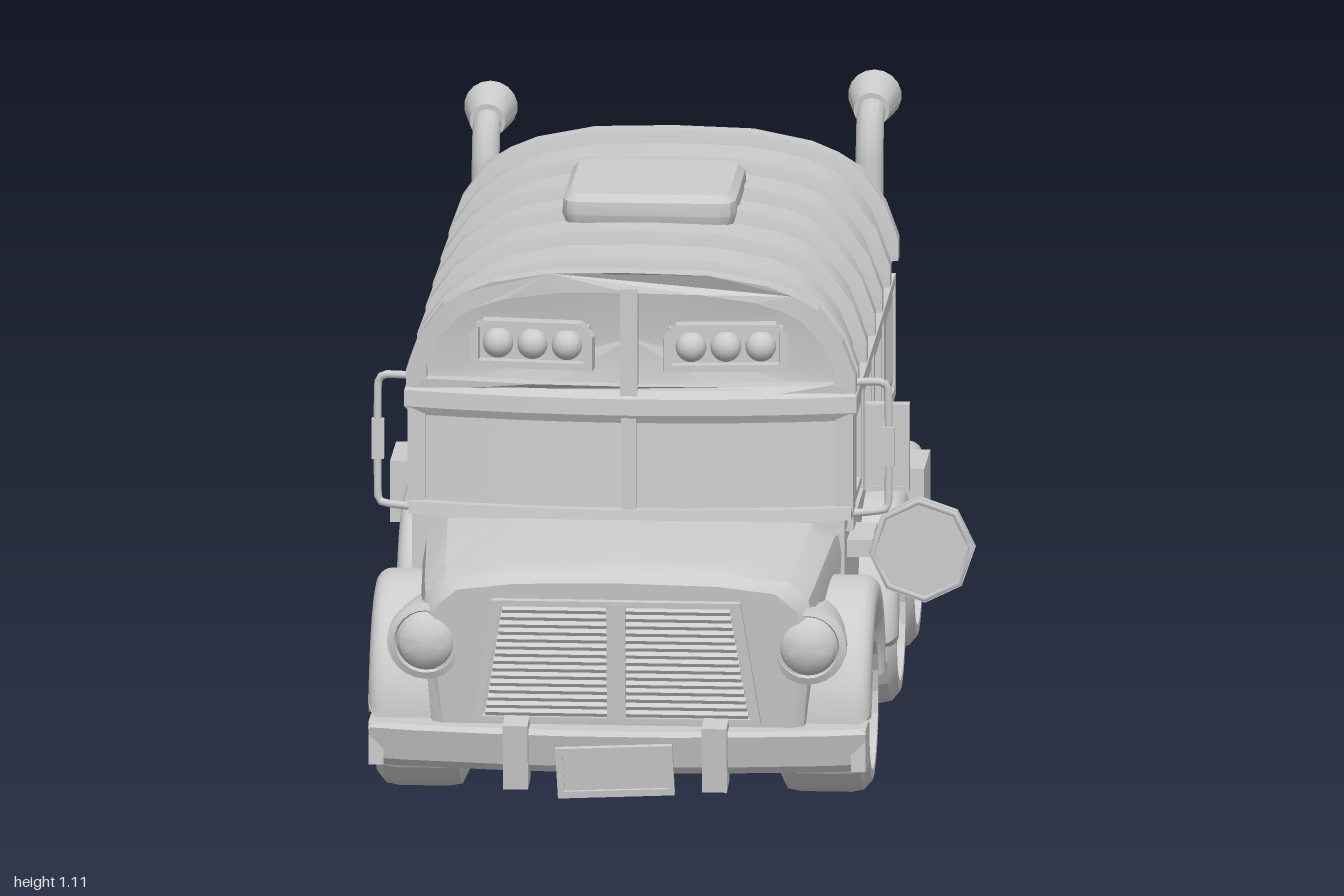
import * as THREE from 'three';
import { toCreasedNormals } from 'three/addons/utils/BufferGeometryUtils.js';

const mat = new THREE.MeshStandardMaterial({ color: 0xcccccc, side: THREE.DoubleSide });

export function createModel() {
  const model = new THREE.Group();
  const bus = new THREE.Group();
  bus.name = 'bus';
  bus.position.x = -0.072;
  model.add(bus);

  const add = (name, geo, x = 0, y = 0, z = 0, parent = bus) => {
    const m = new THREE.Mesh(geo, mat);
    m.name = name;
    m.position.set(x, y, z);
    parent.add(m);
    return m;
  };
  const box = (name, w, h, d, x, y, z, parent) => add(name, new THREE.BoxGeometry(w, h, d), x, y, z, parent);
  const tube = (name, pts, r) => add(name, new THREE.TubeGeometry(
    new THREE.CatmullRomCurve3(pts.map(p => new THREE.Vector3(...p)), false, 'catmullrom', 0.2), 32, r, 12));
  const lathe = (pts, n) => new THREE.LatheGeometry(pts.map(p => new THREE.Vector2(...p)), n);

  // Closed solid through equal-length rings, faces turned outward
  const loft = (rings, crease = 0.5) => {
    const n = rings[0].length, pos = rings.flat(2), idx = [];
    for (let r = 0; r < rings.length - 1; r++) for (let i = 0; i < n; i++) {
      const a = r * n + i, b = r * n + (i + 1) % n;
      idx.push(a, b, b + n, a, b + n, a + n);
    }
    [0, rings.length - 1].forEach((r, end) => {
      const c = pos.length / 3;
      for (let k = 0; k < 3; k++) pos.push(rings[r].reduce((s, p) => s + p[k], 0) / n);
      for (let i = 0; i < n; i++) {
        const a = r * n + i, b = r * n + (i + 1) % n;
        end ? idx.push(c, a, b) : idx.push(c, b, a);
      }
    });
    const v = i => new THREE.Vector3().fromArray(pos, i * 3);
    let vol = 0;
    for (let i = 0; i < idx.length; i += 3) vol += v(idx[i]).dot(v(idx[i + 1]).cross(v(idx[i + 2])));
    if (vol < 0) idx.reverse();
    const g = new THREE.BufferGeometry();
    g.setAttribute('position', new THREE.Float32BufferAttribute(pos, 3));
    g.setIndex(idx);
    return toCreasedNormals(g, crease);
  };
  const rectPath = (x, y, w, h) => [[x - w / 2, y - h / 2], [x + w / 2, y - h / 2], [x + w / 2, y + h / 2], [x - w / 2, y + h / 2]];
  const toShape = pts => new THREE.Shape(pts.map(p => new THREE.Vector2(...p)));
  const plate = (outer, holes, depth) => {
    const s = toShape(outer);
    s.holes = holes.map(toShape);
    return new THREE.ExtrudeGeometry(s, { depth, bevelEnabled: false });
  };
  const frame = (w, h, t, d) => plate(rectPath(0, 0, w, h), [rectPath(0, 0, w - 2 * t, h - 2 * t)], d);

  // Main body
  box('body', 0.85, 0.63, 1.25, 0, 0.465, -0.175);
  for (const s of [-1, 1]) box('bottomTrim', 0.02, 0.05, 1.25, s * 0.43, 0.175, -0.175);

  // Roof, ribs and end frames share one arched section
  const half = [[0.425, 0.78], [0.425, 0.82], [0.4, 0.885], [0.355, 0.945], [0.31, 0.972], [0.26, 0.992], [0.15, 1.013]];
  const base = [...half, [0, 1.017], ...half.map(([x, y]) => [-x, y]).reverse(), [-0.2, 0.78], [0, 0.78], [0.2, 0.78]];
  const arch = (d, b = 0) => base.map(([x, y]) => [x * (1 + d / 0.425), 0.78 + b + (y - 0.78) * (1 + (d - b) / 0.24)]);
  const bow = x => -0.27 * x * x;
  add('roof', loft([arch(0).map(([x, y]) => [x, y, -0.785]), arch(0).map(([x, y]) => [x, y, 0.56 + bow(x)])]));
  for (const z of [0.43, 0.18, -0.06, -0.27, -0.5, -0.74]) add('roofRib',
    loft([[-0.005, -0.027], [0.027, -0.019], [0.027, 0.019], [-0.005, 0.027]].map(([d, o]) => arch(d).map(([x, y]) => [x, y, z + o]))));
  const visor = plate(arch(0.027), [arch(-0.015, 0.03)], 0.045);
  const vp = visor.attributes.position;
  for (let i = 0; i < vp.count; i++) vp.setZ(i, vp.getZ(i) + bow(vp.getX(i)));
  visor.computeVertexNormals();
  add('visorRim', visor, 0, 0, 0.54);
  box('visorPost', 0.035, 0.22, 0.03, 0, 0.9, 0.57);
  add('rearRim', plate(arch(0.008), [arch(-0.04, 0.02)], 0.03), 0, 0, -0.812);
  const sq = (h, y) => [[h, -h + 0.03], [h, h - 0.03], [h - 0.01, h - 0.01], [h - 0.03, h], [-h + 0.03, h], [-h + 0.01, h - 0.01], [-h, h - 0.03], [-h, -h + 0.03], [-h + 0.01, -h + 0.01], [-h + 0.03, -h], [h - 0.03, -h], [h - 0.01, -h + 0.01]].map(([x, z]) => [x, y, z]);
  add('roofHatch', loft([sq(0.165, 1.0), sq(0.175, 1.03), sq(0.173, 1.057), sq(0.16, 1.072)], 0.6), 0, 0, -0.165);

  // Cab with bowed windscreen
  const plan = (hw, zm, y) => {
    const p = [[-hw, y, 0.42]];
    for (let i = -4; i <= 4; i++) p.push([hw * i / 4, y, zm + bow(hw * i / 4)]);
    return [...p, [hw, y, 0.42]];
  };
  add('cab', loft([plan(0.43, 0.585, 0.5), plan(0.43, 0.565, 0.79)]));
  add('windscreenSill', loft([plan(0.445, 0.607, 0.535), plan(0.445, 0.603, 0.56)]));
  add('windscreenHeader', loft([plan(0.44, 0.583, 0.735), plan(0.455, 0.592, 0.752), plan(0.455, 0.59, 0.785), plan(0.44, 0.577, 0.8)]));
  box('windscreenPost', 0.03, 0.19, 0.025, 0, 0.65, 0.582);
  for (const s of [-1, 1]) {
    box('cabCorner', 0.035, 0.2, 0.1, s * 0.43, 0.65, 0.488);
    // Roof lamp cluster
    const lamps = new THREE.Group();
    lamps.name = 'roofLamps';
    lamps.position.set(s * 0.193, 0.893, 0.557);
    lamps.rotation.y = s * 0.1;
    bus.add(lamps);
    box('lampBack', 0.23, 0.075, 0.02, 0, 0, 0, lamps);
    add('lampFrame', plate([[-0.125, -0.048], [0.125, -0.048], [0.125, 0.02], [0.1, 0.048], [-0.1, 0.048], [-0.125, 0.02]], [rectPath(0, 0, 0.215, 0.068)], 0.035), 0, 0, 0, lamps);
    for (const i of [-1, 0, 1]) add('lamp', new THREE.SphereGeometry(0.031, 16, 12), i * 0.07, 0, 0.015, lamps);
  }

  // Hood and nose
  const hood = (z, hw, top, bot, lean) => {
    const h = [[hw - 0.02, bot], [hw, top - 0.1], [hw - 0.008, top - 0.05], [hw - 0.05, top - 0.014], [hw * 0.55, top]];
    return [...h, [0, top + 0.004], ...h.map(([x, y]) => [-x, y]).reverse()].map(([x, y]) => [x, y, z - (top - y) * lean]);
  };
  add('hood', loft([hood(0.42, 0.42, 0.54, 0.15, 0), hood(0.57, 0.415, 0.54, 0.17, 0), hood(0.85, 0.4, 0.515, 0.18, 0.02), hood(0.93, 0.393, 0.505, 0.18, 0.08), hood(0.953, 0.37, 0.485, 0.18, 0.11)], 0.6));
  const grille = new THREE.Group();
  grille.name = 'grille';
  grille.position.set(0, 0.325, 0.937);
  grille.rotation.x = 0.1;
  bus.add(grille);
  add('grilleFrame', plate([[-0.29, -0.125], [0.29, -0.125], [0.25, 0.13], [-0.25, 0.13]], [[[-0.27, -0.115], [0.27, -0.115], [0.232, 0.118], [-0.232, 0.118]]], 0.015), 0, 0, 0, grille);
  box('grillePost', 0.038, 0.25, 0.02, 0, 0, 0.008, grille);
  for (let i = 0; i < 15; i++) {
    const y = -0.108 + i * 0.0155;
    box('grilleSlat', 0.53 - (y + 0.115) * 0.32, 0.009, 0.012, 0, y, 0.006, grille).rotation.x = 0.5;
  }

  // Bumpers: a section in (y, z) swept over stations of [x, z offset]
  const bumper = (stations, sec) => loft([...stations.map(([x, o]) => [-x, o]).reverse(), ...stations]
    .map(([x, o]) => sec.map(([y, z]) => [x, y, z + o])), 0.15);
  add('frontBumper', bumper([[0.1, 0], [0.25, -0.012], [0.42, -0.035], [0.5, -0.055]],
    [[0.1, 0.9], [0.1, 0.955], [0.115, 0.967], [0.18, 0.984], [0.19, 0.975], [0.19, 0.91]]));
  add('rearBumper', bumper([[0.235, 0], [0.445, 0.038], [0.462, 0.05]],
    [[0.1, -0.76], [0.1, -0.85], [0.26, -0.88], [0.4, -0.888], [0.4, -0.79]]));
  add('rearPlate', frame(0.19, 0.09, 0.014, 0.02), 0, 0.28, -0.9);
  box('rearPlateBack', 0.17, 0.07, 0.01, 0, 0.28, -0.885);
  const plateGroup = new THREE.Group();
  plateGroup.name = 'frontPlate';
  plateGroup.position.set(0, 0.11, 0.977);
  plateGroup.rotation.set(0.12, 0, 0.045);
  bus.add(plateGroup);
  box('plateBack', 0.22, 0.09, 0.01, 0, 0, 0, plateGroup);
  add('plateFrame', frame(0.235, 0.105, 0.014, 0.014), 0, 0, -0.002, plateGroup);

  // Fender profile (z, y): flat-topped arch with rounded edges; tail is the angle where the rear arc stops
  const fender = (z0, z1, R, r, yc, tail, y1) => {
    const s = new THREE.Shape();
    s.moveTo(z1 + R, y1);
    s.absarc(z1, yc, R, 0, Math.PI / 2);
    s.absarc(z0, yc, R, Math.PI / 2, tail);
    s.absarc(z0, yc, r, tail, Math.PI / 2, true);
    s.absarc(z1, yc, r, Math.PI / 2, 0, true);
    s.lineTo(z1 + r, y1);
    const g = new THREE.ExtrudeGeometry(s, { depth: 0.09, bevelSize: 0.03, bevelThickness: 0.03, bevelOffset: -0.03, bevelSegments: 4, curveSegments: 16 });
    g.translate(0, 0, -0.045).rotateY(-Math.PI / 2);
    return toCreasedNormals(g, 0.6);
  };
  const frontFender = fender(0.63, 0.63, 0.25, 0.175, 0.185, Math.PI, 0.24);
  const rearFender = fender(-0.61, -0.17, 0.255, 0.175, 0.175, 2.3, 0.15);

  // Wheels: faceted tyre, recessed rim and domed hub
  const tyreGeo = toCreasedNormals(lathe([[0.05, -0.09], [0.145, -0.09], [0.17, -0.078], [0.175, -0.05], [0.175, 0.05], [0.17, 0.075], [0.15, 0.092], [0.13, 0.092], [0.12, 0.06]], 18).rotateZ(-Math.PI / 2), 0.3);
  const hubGeo = toCreasedNormals(lathe([[0.001, -0.088], [0.128, -0.088], [0.128, 0.085], [0.118, 0.06], [0.112, 0.035], [0.09, 0.035], [0.082, 0.055], [0.05, 0.068], [0.001, 0.072]], 28).rotateZ(-Math.PI / 2), 0.5);
  const podGeo = toCreasedNormals(lathe([[0.02, -0.34], [0.05, -0.25], [0.07, -0.1], [0.072, -0.03], [0.078, -0.025], [0.078, 0], [0.064, 0.006], [0.06, -0.004], [0.052, 0.015], [0.03, 0.03], [0.001, 0.035]], 24).rotateX(Math.PI / 2), 0.6);
  const hornGeo = toCreasedNormals(lathe([[0.02, 0], [0.036, 0], [0.04, 0.02], [0.054, 0.1], [0.044, 0.1], [0.03, 0.03], [0.001, 0.03]], 18), 0.6);

  for (const s of [-1, 1]) {
    add('frontFender', frontFender, s * 0.43);
    add('rearFender', rearFender, s * 0.43);
    box('fenderBox', 0.13, 0.125, 0.18, s * 0.472, 0.398, -0.335);
    box('step', 0.07, 0.05, 0.07, s * 0.44, 0.175, 0.42);
    for (const z of [0.65, -0.155, -0.66]) {
      const wheel = new THREE.Group();
      wheel.name = 'wheel';
      wheel.position.set(s * 0.405, 0.178, z);
      if (s < 0) wheel.rotation.y = Math.PI;
      bus.add(wheel);
      add('tyre', tyreGeo, 0, 0, 0, wheel);
      add('hub', hubGeo, 0, 0, 0, wheel);
    }
    add('headlight', podGeo, s * 0.384, 0.36, 0.932);
    box('bumperGuard', 0.05, 0.135, 0.07, s * 0.2, 0.14, 0.957).rotation.x = 0.12;
    box('bumperEnd', 0.03, 0.085, 0.1, s * 0.485, 0.145, 0.875);

    // Exhaust stack, the right one a little shorter
    const top = s > 0 ? 1.055 : 1.02, ex = s * 0.386;
    tube('exhaustPipe', [[ex, 0.38, -0.83], [ex, 0.8, -0.835], [ex, top - 0.075, -0.845], [ex, top - 0.018, -0.865], [ex, top - 0.004, -0.92]], 0.028);
    for (const y of [0.45, 0.81]) add('exhaustCollar', new THREE.CylinderGeometry(0.034, 0.034, 0.045, 14), ex, y, -0.833);
    add('exhaustHorn', hornGeo, ex, top - 0.006, -0.898).rotation.x = -Math.PI / 2 + 0.08;

    // Window belt; local x runs along z
    const belt = new THREE.Group();
    belt.name = 'windowBelt';
    belt.position.x = s * 0.42;
    belt.rotation.y = s * Math.PI / 2;
    bus.add(belt);
    const slots = [0.278, -0.022, -0.32, -0.63], door = s < 0, vent = door ? 1 : 3;
    const wins = door ? slots.slice(1) : slots;
    const zA = door ? 0.13 : 0.445, mid = (zA - 0.795) / 2;
    add('beltPanel', plate(rectPath(-s * mid, 0.613, zA + 0.795, 0.25), wins.map(z => rectPath(-s * z, 0.613, 0.275, 0.21)), 0.022), 0, 0, 0, belt);
    for (const z of wins) add('windowFrame', frame(0.25, 0.185, 0.016, 0.018), -s * z, 0.613, 0, belt);
    for (let i = -4; i <= 4; i++) box('ventBar', 0.011, 0.16, 0.02, -s * slots[vent] + i * 0.025, 0.613, 0.008, belt);
    if (door) {
      add('doorFrame', frame(0.3, 0.56, 0.03, 0.026), 0.285, 0.46, 0, belt);
      box('doorPost', 0.02, 0.52, 0.02, 0.285, 0.46, 0.01, belt);
      for (const o of [-0.062, 0.062]) add('doorPane', frame(0.1, 0.46, 0.012, 0.014), 0.285 + o, 0.46, 0, belt);
    }

    // Mirror bracket
    tube('mirrorBracket', [[s * 0.43, 0.8, 0.47], [s * 0.495, 0.8, 0.46], [s * 0.513, 0.78, 0.455], [s * 0.513, 0.55, 0.455], [s * 0.495, 0.535, 0.46], [s * 0.43, 0.53, 0.47]], 0.008);
    box('mirrorClamp', 0.025, 0.08, 0.025, s * 0.513, 0.667, 0.455);

    // Rear lamps and side windows
    add('rearLampFrame', frame(0.14, 0.072, 0.01, 0.03), s * 0.265, 0.875, -0.812);
    for (const o of [-0.03, 0.03]) add('rearLamp', new THREE.SphereGeometry(0.027, 14, 10), s * 0.265 + o, 0.875, -0.793);
    add('rearWindow', frame(0.12, 0.2, 0.014, 0.015), s * 0.265, 0.62, -0.81);
  }
  const mirror = new THREE.Group();
  mirror.name = 'sideMirror';
  mirror.position.set(0.51, 0.663, 0.44);
  bus.add(mirror);
  box('mirrorBody', 0.085, 0.17, 0.02, 0, 0, 0, mirror);
  add('mirrorRim', frame(0.09, 0.178, 0.01, 0.03), 0, 0, -0.015, mirror);

  // Rear door and ledge
  add('rearDoorFrame', frame(0.3, 0.36, 0.025, 0.02), 0, 0.56, -0.815);
  add('rearDoorPane', frame(0.2, 0.25, 0.018, 0.015), 0, 0.585, -0.81);
  box('rearLedge', 0.87, 0.03, 0.025, 0, 0.775, -0.803);

  // Folding road sign on the left side
  box('signArm', 0.05, 0.035, 0.16, 0.45, 0.438, 0.3);
  box('signHinge', 0.14, 0.035, 0.04, 0.53, 0.438, 0.35);
  const sign = add('signPlate', toCreasedNormals(new THREE.CylinderGeometry(0.108, 0.108, 0.02, 8).rotateX(Math.PI / 2), 0.3), 0.576, 0.44, 0.387);
  sign.rotation.z = 0.06;
  add('signRim', new THREE.TorusGeometry(0.1, 0.007, 6, 8).rotateZ(Math.PI / 2), 0.576, 0.44, 0.395).rotation.z = 0.06;
  return model;
}
